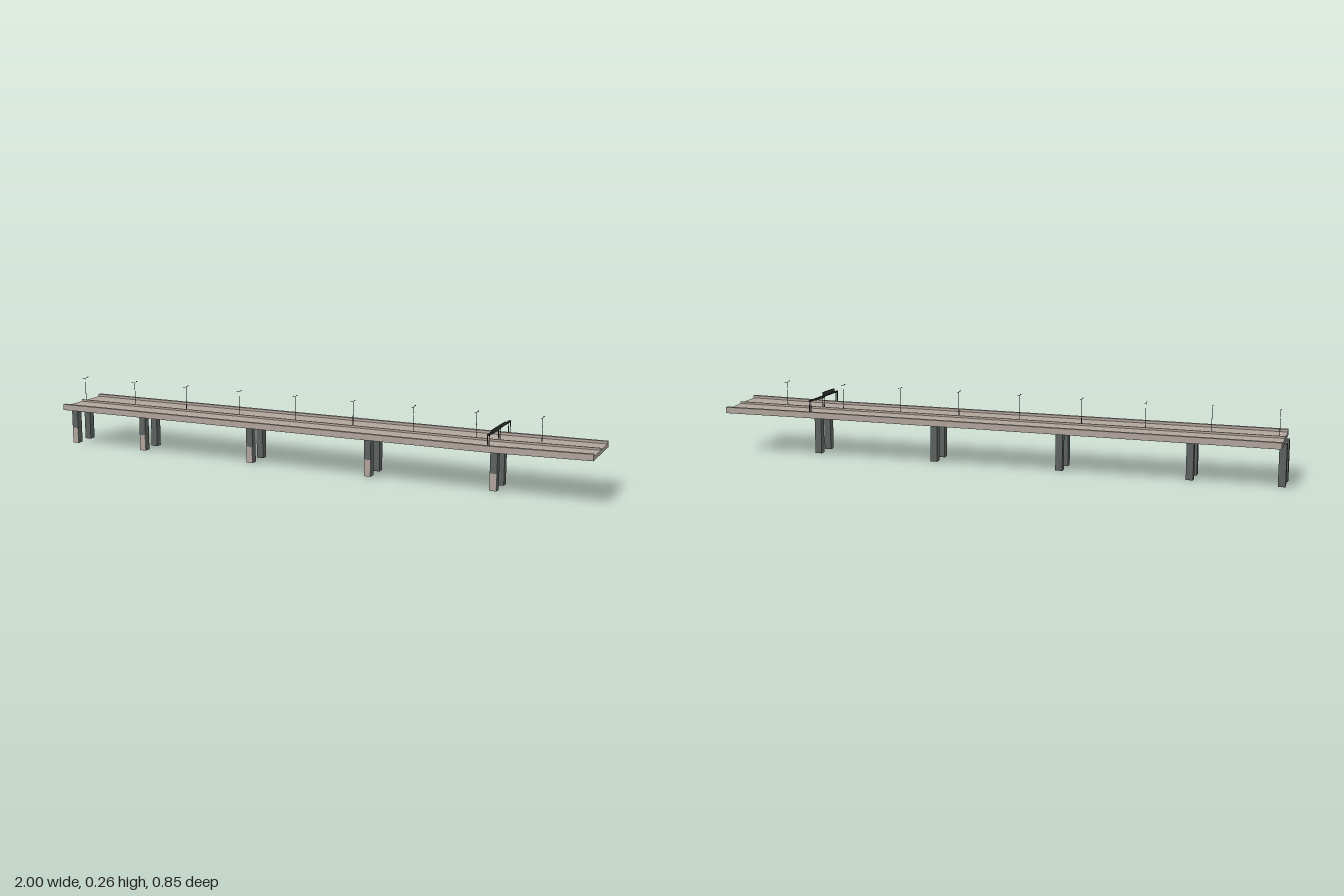
import * as THREE from 'three';

const concrete = new THREE.MeshStandardMaterial({ color: 0xb0a59c });
concrete.name = 'concrete';
const pierGrey = new THREE.MeshStandardMaterial({ color: 0x5c6260 });
pierGrey.name = 'pier grey';
const darkSteel = new THREE.MeshStandardMaterial({ color: 0x343838 });
darkSteel.name = 'dark steel';

// Soffit edge points at the start, the bend and the end of the deck
const V = (x, y, z) => new THREE.Vector3(x, y, z);
const stations = [
  { back: V(-0.925, 0.142, -0.43), front: V(-1, 0.144, -0.195) },
  { back: V(0.68, 0.151, 0.095), front: V(0.605, 0.154, 0.325) },
  { back: V(1, 0.153, 0.19), front: V(0.933, 0.161, 0.424) },
];
const YAW = -0.315;
const ROAD = 0.012;

// Point on the deck: u = -1 back edge, +1 front edge, h above the soffit
function deckPoint(s, u, h) {
  const p = s.back.clone().lerp(s.front, (u + 1) / 2);
  p.y += h;
  return p;
}

// Centre line of the soffit at a given x
function centreAt(x) {
  const c = stations.map((s) => deckPoint(s, 0, 0));
  const i = x < c[1].x ? 0 : 1;
  return c[i].clone().lerp(c[i + 1], (x - c[i].x) / (c[i + 1].x - c[i].x));
}

// Rectangular strip running the full length of the deck
function strip(name, u0, u1, h0, h1, material) {
  const profile = [[u0, h0], [u1, h0], [u1, h1], [u0, h1]];
  const rings = stations.map((s) => profile.map(([u, h]) => deckPoint(s, u, h)));
  const pos = [];
  const quad = (a, b, c, d) => [a, b, c, a, c, d].forEach((p) => pos.push(p.x, p.y, p.z));
  for (let s = 0; s < rings.length - 1; s++) {
    for (let i = 0; i < 4; i++) {
      const j = (i + 1) % 4;
      quad(rings[s][i], rings[s + 1][i], rings[s + 1][j], rings[s][j]);
    }
  }
  quad(...rings[0]);
  quad(...[...rings[rings.length - 1]].reverse());
  const g = new THREE.BufferGeometry();
  g.setAttribute('position', new THREE.Float32BufferAttribute(pos, 3));
  g.computeVertexNormals();
  const m = new THREE.Mesh(g, material);
  m.name = name;
  return m;
}

function box(name, size, at, material, parent) {
  const m = new THREE.Mesh(new THREE.BoxGeometry(...size), material);
  m.name = name;
  m.position.set(...at);
  parent.add(m);
  return m;
}

// Group on the centre line: local x along the road, local z across it
function roadGroup(name, x, y) {
  const g = new THREE.Group();
  const c = centreAt(x);
  g.name = name;
  g.position.set(c.x, y ?? c.y + ROAD, c.z);
  g.rotation.y = YAW;
  return g;
}

// Two square columns, the front one faced with pale concrete at its foot
function pier(x, foot) {
  const g = roadGroup('pier', x, 0);
  const top = centreAt(x).y + 0.002;
  for (const side of [-1, 1]) {
    box('column', [0.025, top - foot, 0.025], [0, (top + foot) / 2, side * 0.04], pierGrey, g);
  }
  box('columnFacing', [0.024, 0.06, 0.001], [0, foot + 0.03, 0.0528], concrete, g);
  return g;
}

// Twin-armed street lamp
function lamp(x) {
  const g = roadGroup('streetLamp', x);
  const pole = new THREE.Mesh(new THREE.CylinderGeometry(0.0007, 0.0012, 0.092, 6), darkSteel);
  pole.name = 'lampPole';
  pole.position.y = 0.046;
  g.add(pole);
  for (const side of [-1, 1]) {
    const arm = box('lampArm', [0.001, 0.001, 0.012], [0, 0.0925, side * 0.006], darkSteel, g);
    arm.rotation.x = -side * 0.15;
    const head = box('lampHead', [0.003, 0.0015, 0.007], [0, 0.094, side * 0.0145], darkSteel, g);
    head.rotation.x = -side * 0.15;
  }
  return g;
}

// Overhead sign gantry across both carriageways
function gantry(x) {
  const g = roadGroup('signGantry', x);
  const beamY = 0.212 - g.position.y;
  for (const v of [-0.113, 0, 0.117]) {
    for (const dx of [-0.003, 0.003]) {
      box('gantryPost', [0.002, beamY, 0.003], [dx, beamY / 2, v], darkSteel, g);
    }
  }
  box('gantryBeam', [0.008, 0.004, 0.24], [0, beamY, 0.002], darkSteel, g);
  box('frontSign', [0.004, 0.014, 0.094], [0.006, beamY + 0.006, 0.058], darkSteel, g);
  box('backSign', [0.004, 0.007, 0.08], [-0.006, beamY, -0.042], darkSteel, g);
  return g;
}

export function createModel() {
  const model = new THREE.Group();
  model.name = 'roadBridge';

  // Deck
  model.add(
    strip('roadSlab', -0.89, 0.89, 0, ROAD, concrete),
    strip('soffit', -0.995, 0.995, -0.001, 0.0005, pierGrey),
    strip('backParapet', -1, -0.89, 0, 0.021, concrete),
    strip('frontParapet', 0.89, 1, 0, 0.021, concrete),
    strip('medianBarrier', -0.025, 0.025, ROAD, 0.019, concrete),
  );

  // Piers stand on gently rising ground
  [-0.962, -0.67, -0.235, 0.207, 0.64].forEach((x, i) => model.add(pier(x, i * 0.0016)));

  // Lamps along the median
  for (let i = 0; i < 9; i++) model.add(lamp(-0.945 + i * 0.2155));

  model.add(gantry(0.64));
  return model;
}
